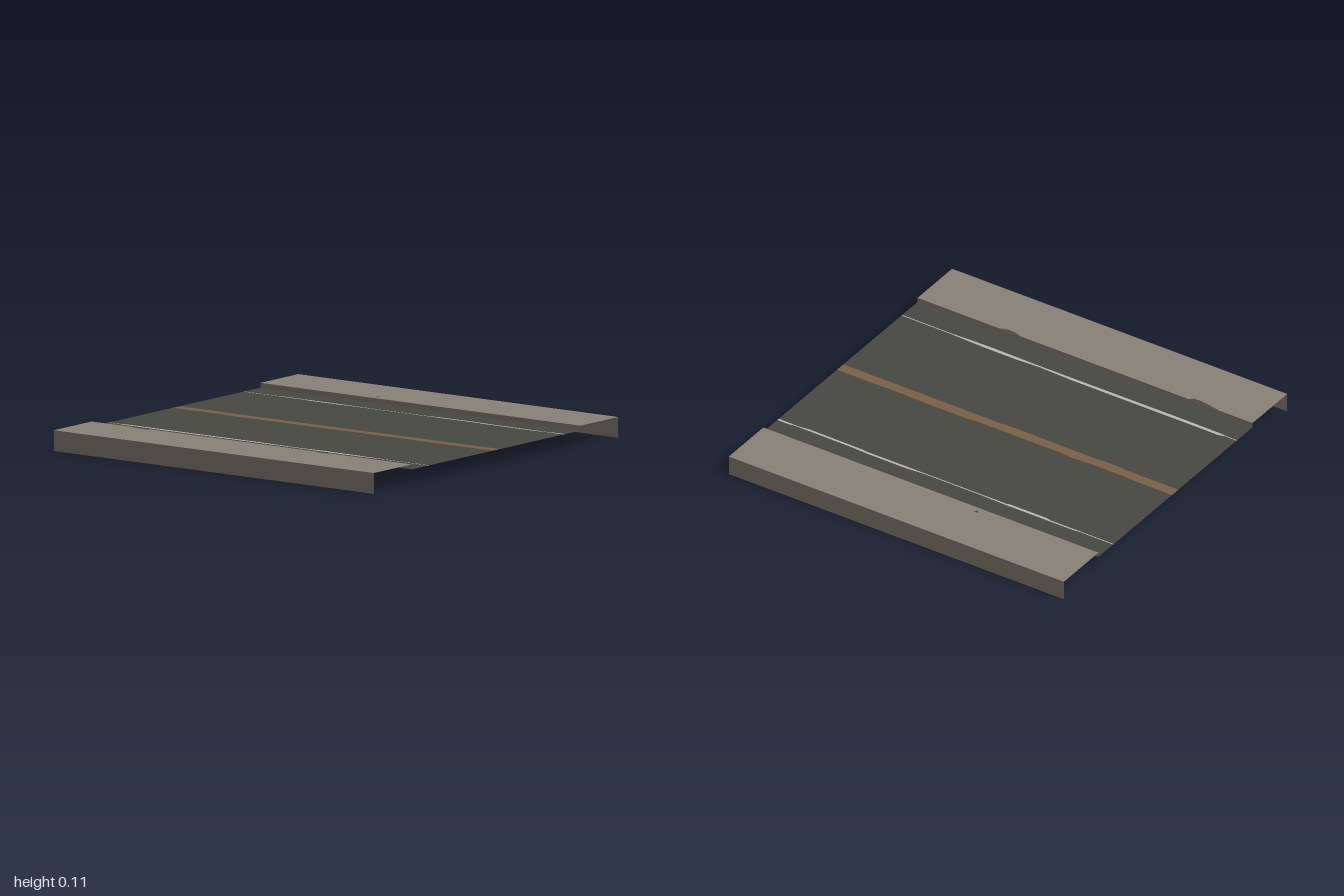
import * as THREE from 'three';

const ROAD_Y = 0.08, WALK_Y = 0.105, CURB_Z = 0.69;

function material(name, color) {
  const m = new THREE.MeshStandardMaterial({ color, side: THREE.DoubleSide });
  m.name = name;
  return m;
}

// Flat strip lying at height y between two edge lines of [x, z] points
function strip(name, mat, back, front, y) {
  const points = [...back, ...[...front].reverse()].map(([x, z]) => new THREE.Vector2(x, -z)).reverse();
  const geometry = new THREE.ShapeGeometry(new THREE.Shape(points));
  geometry.rotateX(-Math.PI / 2);
  const mesh = new THREE.Mesh(geometry, mat);
  mesh.name = name;
  mesh.position.y = y;
  return mesh;
}

const straight = (z) => [[-1, z], [1, z]];

// Upright sheet running the full width at depth z, facing side
function wall(name, mat, z, y0, y1, side) {
  const mesh = new THREE.Mesh(new THREE.PlaneGeometry(2, y1 - y0), mat);
  mesh.name = name;
  mesh.position.set(0, (y0 + y1) / 2, z);
  if (side < 0) mesh.rotation.y = Math.PI;
  return mesh;
}

export function createModel() {
  const model = new THREE.Group();
  model.name = 'roadSection';

  const concrete = material('concrete', 0x8a8277);
  const asphalt = material('asphalt', 0x484942);
  const centrePaint = material('centrePaint', 0x7a6048);
  const edgePaint = material('edgePaint', 0xbbb9b1);

  // Worn edges of the painted lines, back to front
  const edges = [
    straight(-CURB_Z),
    [[-1, -0.559], [-0.79, -0.559], [-0.78, -0.563], [-0.36, -0.563], [-0.18, -0.559], [0.13, -0.559],
      [0.23, -0.567], [0.47, -0.567], [0.55, -0.562], [0.9, -0.56], [0.93, -0.566], [1, -0.566]],
    [[-1, -0.553], [-0.62, -0.553], [-0.6, -0.547], [-0.38, -0.547], [-0.36, -0.552], [0.48, -0.553],
      [0.5, -0.549], [0.82, -0.547], [0.88, -0.554], [1, -0.553]],
    [[-1, -0.032], [-0.78, -0.032], [-0.7, -0.027], [-0.5, -0.027], [-0.4, -0.033], [-0.34, -0.027],
      [0.18, -0.027], [0.2, -0.033], [0.55, -0.033], [0.6, -0.029], [1, -0.032]],
    [[-1, 0.025], [-0.68, 0.025], [-0.66, 0.03], [-0.54, 0.03], [-0.5, 0.025], [-0.07, 0.029],
      [0.03, 0.029], [0.05, 0.025], [1, 0.026]],
    [[-1, 0.547], [-0.93, 0.547], [-0.9, 0.538], [-0.02, 0.538], [0.17, 0.545], [0.3, 0.538],
      [0.5, 0.538], [0.7, 0.546], [1, 0.547]],
    [[-1, 0.552], [-0.93, 0.552], [-0.9, 0.556], [-0.65, 0.558], [0.2, 0.555], [0.45, 0.559],
      [0.6, 0.556], [0.7, 0.552], [1, 0.553]],
    straight(CURB_Z),
  ];
  const bands = [
    ['backShoulder', asphalt], ['backEdgeLine', edgePaint], ['backLane', asphalt],
    ['centreLine', centrePaint],
    ['frontLane', asphalt], ['frontEdgeLine', edgePaint], ['frontShoulder', asphalt],
  ];
  bands.forEach(([name, mat], i) => model.add(strip(name, mat, edges[i], edges[i + 1], ROAD_Y)));

  // Raised pavements, each with a low kerb and a tall outer skirt
  for (const side of [-1, 1]) {
    const pavement = new THREE.Group();
    pavement.name = side > 0 ? 'frontPavement' : 'backPavement';
    const [z0, z1] = side > 0 ? [CURB_Z, 1] : [-1, -CURB_Z];
    pavement.add(
      strip('pavementTop', concrete, straight(z0), straight(z1), WALK_Y),
      wall('kerb', concrete, side * CURB_Z, ROAD_Y, WALK_Y, -side),
      wall('outerSkirt', concrete, side, 0, WALK_Y, side),
    );
    model.add(pavement);
  }

  // Small dark stains on the pavements
  const stains = [
    [[[-0.8, 0.69], [-0.62, 0.69]], [[-0.74, 0.7], [-0.69, 0.708], [-0.64, 0.708]]],
    [[[0.38, 0.69], [0.51, 0.69]], [[0.42, 0.7], [0.45, 0.706], [0.48, 0.702]]],
    [[[-0.305, -0.732], [-0.285, -0.732]], [[-0.3, -0.717], [-0.29, -0.717]]],
  ];
  stains.forEach(([back, front]) => model.add(strip('stain', asphalt, back, front, WALK_Y + 0.001)));

  return model;
}
